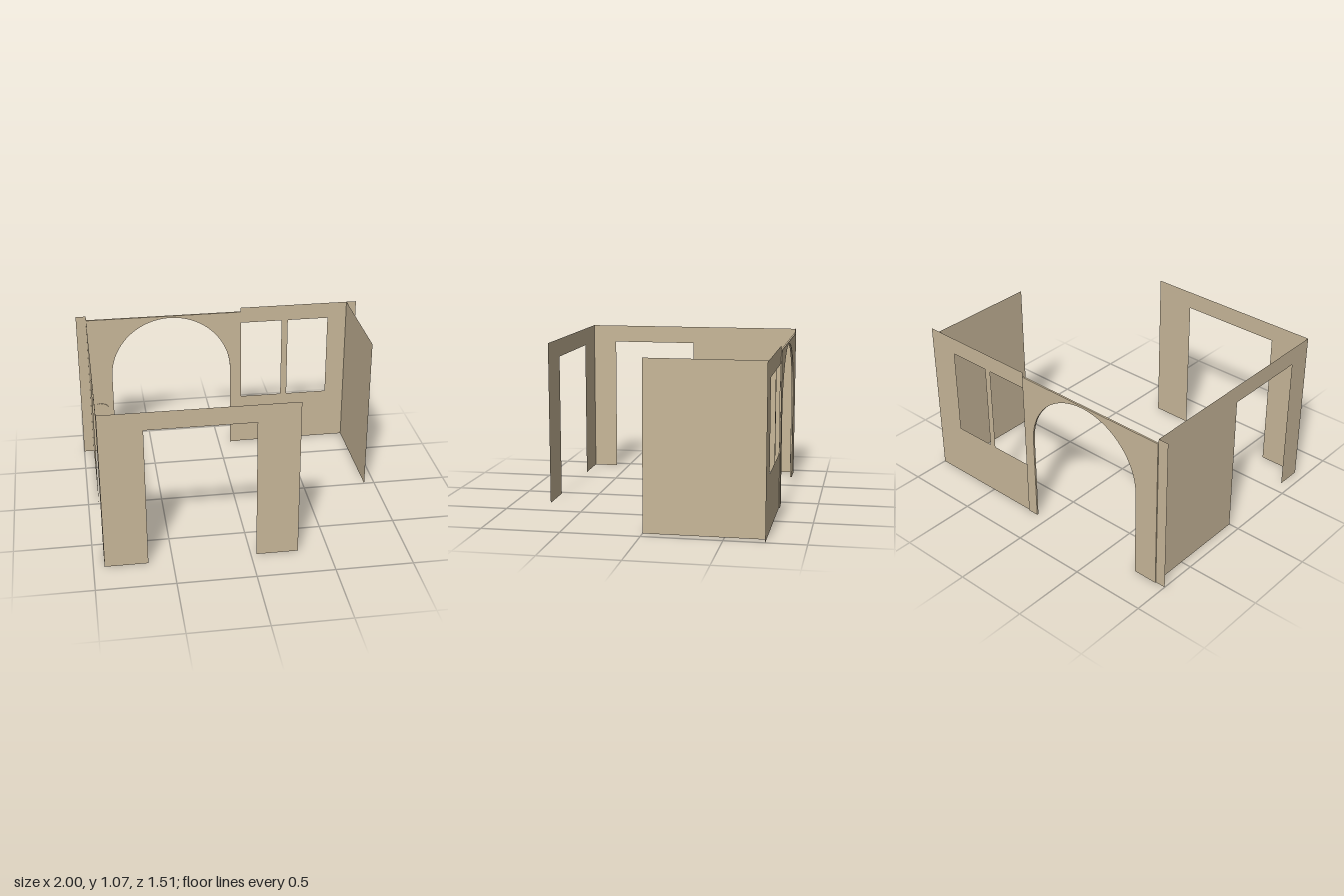
import * as THREE from 'three';

export function createModel() {
  const group = new THREE.Group();
  const plaster = new THREE.MeshStandardMaterial({ color: 0xc8b799, side: THREE.DoubleSide });
  plaster.name = 'tan plaster';

  const H = 1.07, LINTEL = 0.95, FRONT = 0.757, BACK = -0.751, SIDE = 0.93;

  const add = (name, geometry) => {
    const mesh = new THREE.Mesh(geometry, plaster);
    mesh.name = name;
    group.add(mesh);
    return mesh;
  };
  const outline = points => new THREE.Shape(points.map(p => new THREE.Vector2(...p)));
  const rect = (a, b, y0, y1) => [[a, y0], [b, y0], [b, y1], [a, y1]];

  // flat sheet facing z
  const sheetZ = (name, z, points, holes = []) => {
    const shape = outline(points);
    holes.forEach(h => shape.holes.push(outline(h)));
    add(name, new THREE.ShapeGeometry(shape)).position.z = z;
  };
  // flat sheet facing x, outlined in (z, y)
  const sheetX = (name, x, points) => {
    const geometry = new THREE.ShapeGeometry(outline(points.map(([z, y]) => [-z, y])));
    geometry.rotateY(Math.PI / 2);
    add(name, geometry).position.x = x;
  };
  // sheet outline with a doorway between c and d
  const doorway = (a, b, c, d) => [
    [a, 0], [c, 0], [c, LINTEL], [d, LINTEL], [d, 0], [b, 0], [b, H], [a, H]];

  // front wall with doorway
  sheetZ('frontDoorWall', FRONT, doorway(-SIDE, 0.305, -0.655, 0.035));

  // side walls
  sheetX('rightSideWall', -SIDE, doorway(BACK, FRONT, 0, 0.59));
  sheetX('leftSideWall', SIDE, rect(BACK, 0, 0, H));

  // back wall: window section and narrow end strip
  sheetZ('windowWall', BACK,
    [[0.16, 0], [1, 0], [1, H], [0.16, H]],
    [rect(0.166, 0.46, 0.37, 0.955), rect(0.505, 0.795, 0.37, 0.955)]);
  sheetZ('endStrip', BACK, rect(-1, -SIDE, 0, H));

  // thick round arch in the back wall
  const cx = -0.34, r = 0.426, spring = 0.6, top = 1.04;
  const arch = new THREE.Shape();
  arch.moveTo(-SIDE, 0);
  arch.lineTo(cx - r, 0);
  arch.lineTo(cx - r, spring);
  arch.absarc(cx, spring, r, Math.PI, 0, true);
  arch.lineTo(cx + r, 0);
  arch.lineTo(0.16, 0);
  arch.lineTo(0.16, top);
  arch.lineTo(-SIDE, top);
  arch.closePath();
  add('archWall', new THREE.ExtrudeGeometry(arch,
    { depth: 0.012, bevelEnabled: false, curveSegments: 32 })).position.z = -0.757;

  // small raised patch on the inside of the arch pier
  const patch = outline([[-0.885, 0], [-0.8, 0], [-0.8, 0.35], [-0.815, 0.375],
    [-0.84, 0.385], [-0.865, 0.39], [-0.885, 0.385]]);
  add('pierPatch', new THREE.ExtrudeGeometry(patch,
    { depth: 0.004, bevelEnabled: false })).position.z = -0.745;

  return group;
}
